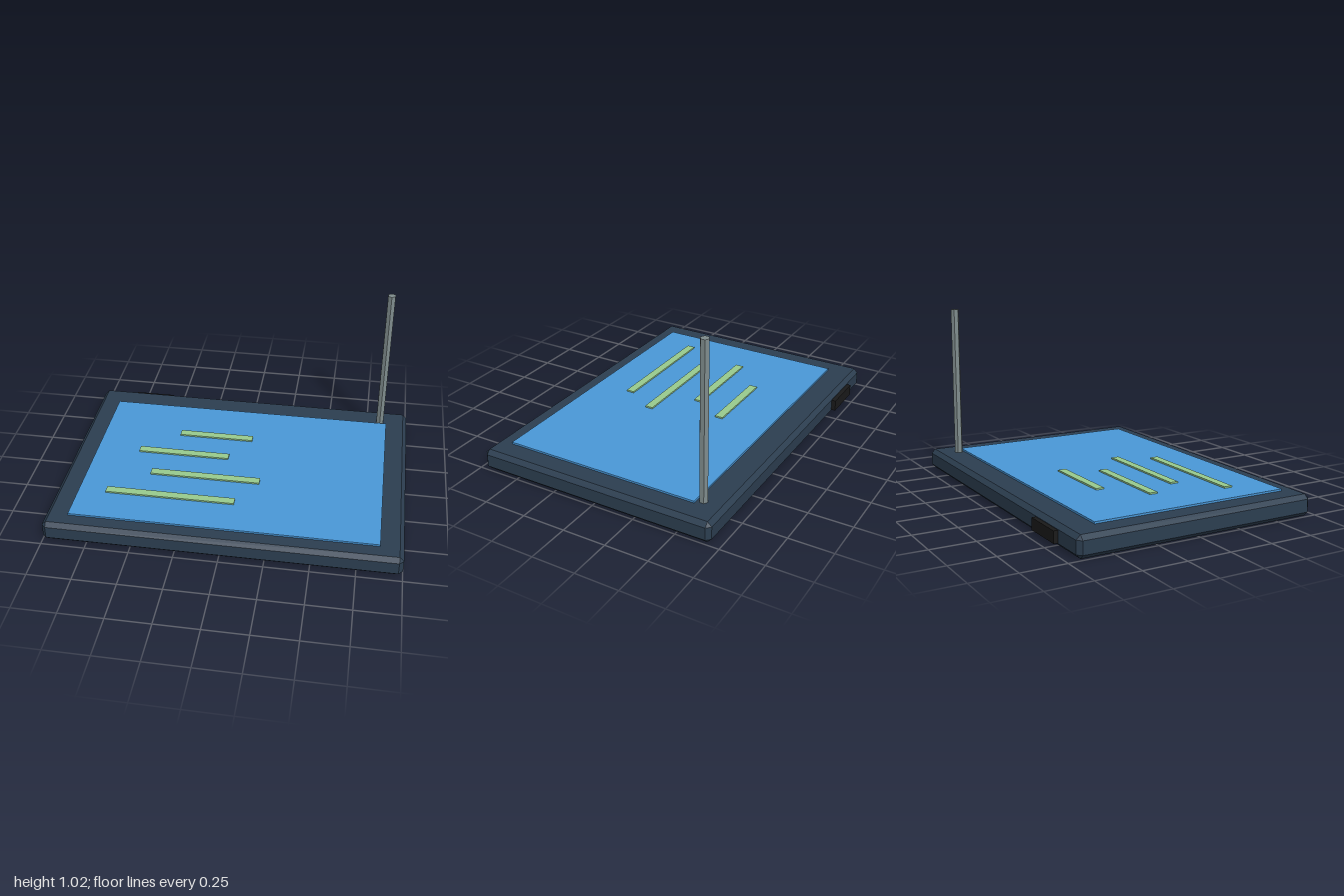
import * as THREE from 'three';
import { ConvexGeometry } from 'three/addons/geometries/ConvexGeometry.js';

function material(name, color) {
  const m = new THREE.MeshStandardMaterial({ color });
  m.name = name;
  return m;
}

// Box with every edge and corner cut flat
function chamferedBox(w, h, d, c) {
  const points = [];
  for (const sx of [-1, 1]) for (const sy of [-1, 1]) for (const sz of [-1, 1]) {
    const x = w / 2, y = h / 2, z = d / 2;
    points.push(
      new THREE.Vector3(sx * x, sy * (y - c), sz * (z - c)),
      new THREE.Vector3(sx * (x - c), sy * y, sz * (z - c)),
      new THREE.Vector3(sx * (x - c), sy * (y - c), sz * z)
    );
  }
  return new ConvexGeometry(points);
}

export function createModel() {
  const group = new THREE.Group();
  group.name = 'tabletWithAntenna';

  const navy = material('dark navy casing', 0x2c3e50);
  const blue = material('screen blue', 0x4a98d8);
  const green = material('line green', 0x98cb8e);
  const grey = material('antenna grey', 0x7f8c8d);
  const black = material('button black', 0x1a1a1a);

  const add = (name, geometry, mat, x, y, z) => {
    const mesh = new THREE.Mesh(geometry, mat);
    mesh.name = name;
    mesh.position.set(x, y, z);
    group.add(mesh);
  };
  // Box given by its lower and upper limits
  const addBox = (name, mat, [x0, x1], [y0, y1], [z0, z1]) =>
    add(name, new THREE.BoxGeometry(x1 - x0, y1 - y0, z1 - z0), mat,
      (x0 + x1) / 2, (y0 + y1) / 2, (z0 + z1) / 2);

  // Casing and screen
  add('casing', chamferedBox(2, 0.12, 1.417, 0.024), navy, 0, 0.06, 0.0125);
  addBox('screen', blue, [-0.87, 0.87], [0.11, 0.131], [-0.537, 0.625]);

  // Raised lines on the screen: left end, right end, depth
  [
    [-0.395, 0.055, -0.237],
    [-0.61, -0.062, -0.031],
    [-0.492, 0.155, 0.179],
    [-0.71, 0.038, 0.386],
  ].forEach(([x0, x1, z], i) =>
    addBox('screenLine' + (i + 1), green, [x0, x1], [0.125, 0.14], [z - 0.024, z + 0.024]));

  // Six-sided antenna at the back left corner
  const antenna = new THREE.CylinderGeometry(0.025, 0.025, 0.91, 6).toNonIndexed();
  antenna.computeVertexNormals();
  add('antenna', antenna, grey, 0.83, 0.565, -0.569);

  // Button on the back edge
  addBox('powerButton', black, [-0.793, -0.547], [0.027, 0.093], [-0.721, -0.67]);

  return group;
}
